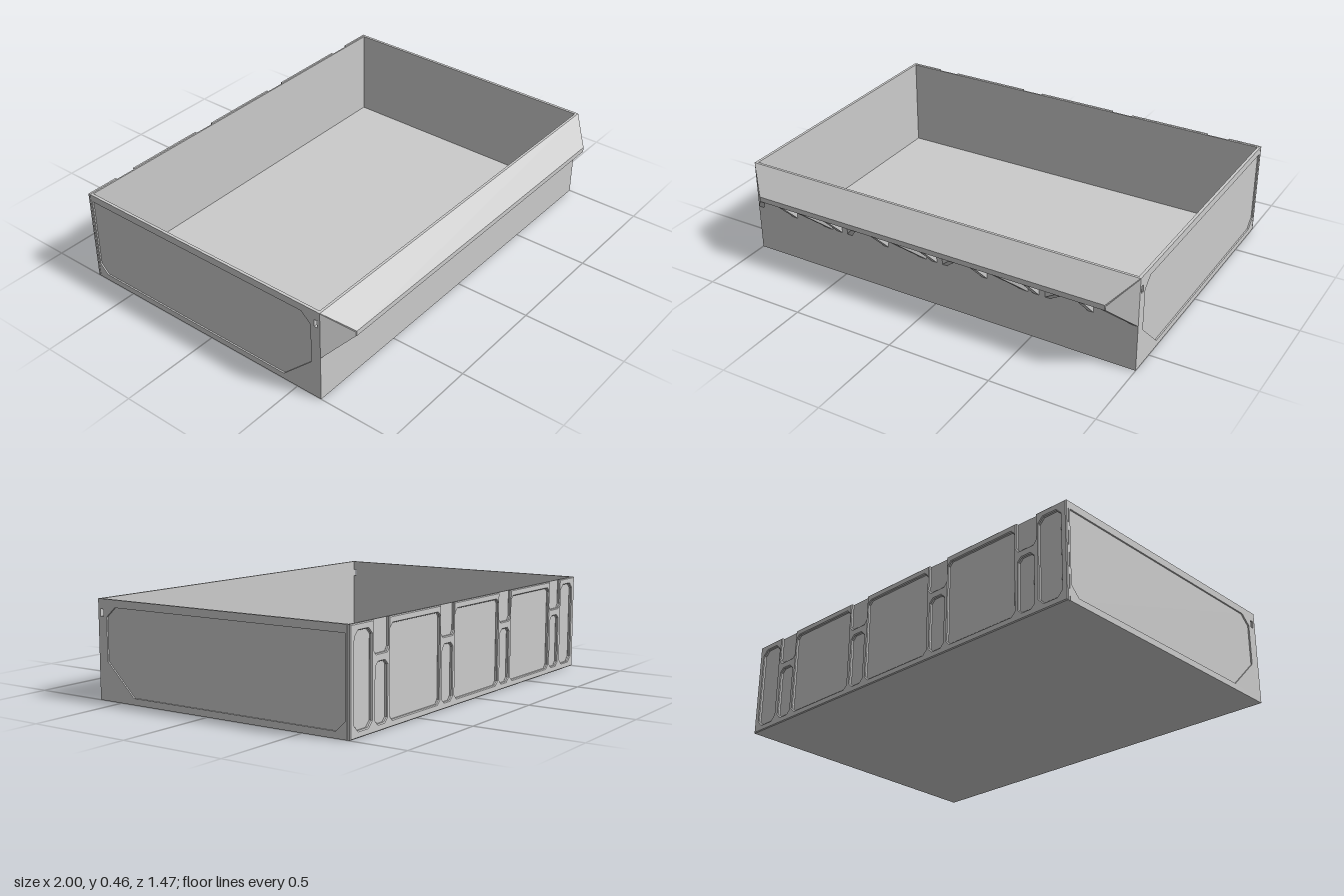
import * as THREE from 'three';

const material = new THREE.MeshStandardMaterial({ color: 0xcccccc, flatShading: true });
const TOP = 0.46, FRONT = 0.63, BACK = -0.735;
const vectors = (pts) => pts.map(([a, b]) => new THREE.Vector2(a, b));

function shapeOf(outline, holes = []) {
  const shape = new THREE.Shape(vectors(outline));
  for (const h of holes) shape.holes.push(new THREE.Path(vectors(h)));
  return shape;
}

// Extrudes a [z, y] outline along x, from x0 to x1
function acrossX(outline, x0, x1, holes) {
  const g = new THREE.ExtrudeGeometry(shapeOf(outline, holes), { depth: x1 - x0, bevelEnabled: false });
  return g.rotateY(-Math.PI / 2).translate(x1, 0, 0);
}

// Moves x by a rule depending on z
function bendX(g, rule) {
  const p = g.attributes.position;
  for (let i = 0; i < p.count; i++) p.setX(i, rule(p.getX(i), p.getZ(i)));
  g.computeVertexNormals();
  return g;
}

// Rectangle with cut corners
function cutRect(x0, x1, y0, y1, c) {
  return [[x0 + c, y0], [x1 - c, y0], [x1, y0 + c], [x1, y1 - c],
    [x1 - c, y1], [x0 + c, y1], [x0, y1 - c], [x0, y0 + c]];
}

export function createModel() {
  const root = new THREE.Group();
  const add = (name, geometry) => {
    const mesh = new THREE.Mesh(geometry, material);
    mesh.name = name;
    root.add(mesh);
    return mesh;
  };
  const box = (name, x0, x1, y0, y1, z0, z1) => add(name,
    new THREE.BoxGeometry(x1 - x0, y1 - y0, z1 - z0)
      .translate((x0 + x1) / 2, (y0 + y1) / 2, (z0 + z1) / 2));

  // Tray shell
  box('floor', -0.995, 0.995, 0, 0.012, -0.725, FRONT - 0.002);
  box('frontWall', -1, 1, 0, TOP, FRONT - 0.012, FRONT);
  box('backWall', -0.99, 0.99, 0.002, TOP - 0.001, -0.721, -0.714);

  // Side walls: inner sheet, outer frame around a sunken panel, slot through both
  const zf = FRONT - 0.001, zb = -0.72;
  const rect = [[zb, 0], [zf, 0], [zf, TOP], [zb, TOP]];
  const slot = [[0.6, 0.38], [0.617, 0.38], [0.617, 0.415], [0.6, 0.415]];
  const panel = [[0.58, 0.38], [0.53, 0.425], [-0.71, 0.425], [-0.71, 0.075],
    [-0.665, 0.03], [0.425, 0.03], [0.58, 0.18]];
  for (const s of [1, -1]) {
    const side = s > 0 ? 'left' : 'right';
    const span = (a, b) => (s > 0 ? [a, b] : [-b, -a]);
    add(side + 'SideSheet', acrossX(rect, ...span(0.986, 0.993), [slot]));
    add(side + 'SideFrame', acrossX(rect, ...span(0.993, 1), [slot, panel]));
  }

  // Back frame: sunken panels, notches open at the top and a slot below each
  const hooks = [-0.78, -0.26, 0.26, 0.78];
  const outline = [[-1, 0], [1, 0], [1, TOP]];
  for (const x of [...hooks].reverse()) {
    outline.push([x + 0.055, TOP], [x + 0.055, 0.34], [x + 0.04, 0.32],
      [x - 0.04, 0.32], [x - 0.055, 0.34], [x - 0.055, TOP]);
  }
  outline.push([-1, TOP]);
  const holes = hooks.map((x) => cutRect(x - 0.042, x + 0.042, 0.03, 0.285, 0.018));
  for (const x of [-0.52, 0, 0.52]) holes.push(cutRect(x - 0.195, x + 0.195, 0.03, 0.43, 0.018));
  for (const x of [-0.91, 0.91]) holes.push(cutRect(x - 0.06, x + 0.06, 0.03, 0.43, 0.025));
  add('backFrame', new THREE.ExtrudeGeometry(shapeOf(outline, holes), {
    depth: 0.009, bevelEnabled: true, bevelSegments: 1,
    bevelSize: 0.004, bevelThickness: 0.004, bevelOffset: -0.004,
  }).translate(0, 0, BACK + 0.004));

  // Sloping front lip, narrowing towards its nose
  const lip = [[FRONT, TOP], [FRONT, 0.44], [0.718, 0.35], [0.718, 0.33],
    [0.735, 0.33], [0.735, 0.355]];
  add('frontLip', bendX(acrossX(lip, -1, 1), (x, z) => x * (0.998 - (z - FRONT))));

  // Gussets under the lip; slant turns them sideways as they reach the nose
  const gusset = (name, x, slant, width, top) => {
    const profile = [[FRONT, 0.225], [0.733, 0.33], [0.733, 0.35], [FRONT, top]];
    add(name, bendX(acrossX(profile, x - width / 2, x + width / 2),
      (px, z) => px + slant * (z - FRONT)));
  };
  for (let i = -3; i <= 3; i++) gusset('straightGusset', i * 0.26, 0, 0.026, 0.45);
  for (const x of [-0.52, 0, 0.52]) {
    for (const s of [-1, 1]) gusset('slantedGusset', x + s * 0.055, s, 0.026, 0.45);
  }
  for (const s of [-1, 1]) gusset('lipEnd', s * 0.985, -s, 0.03, 0.458);

  return root;
}
